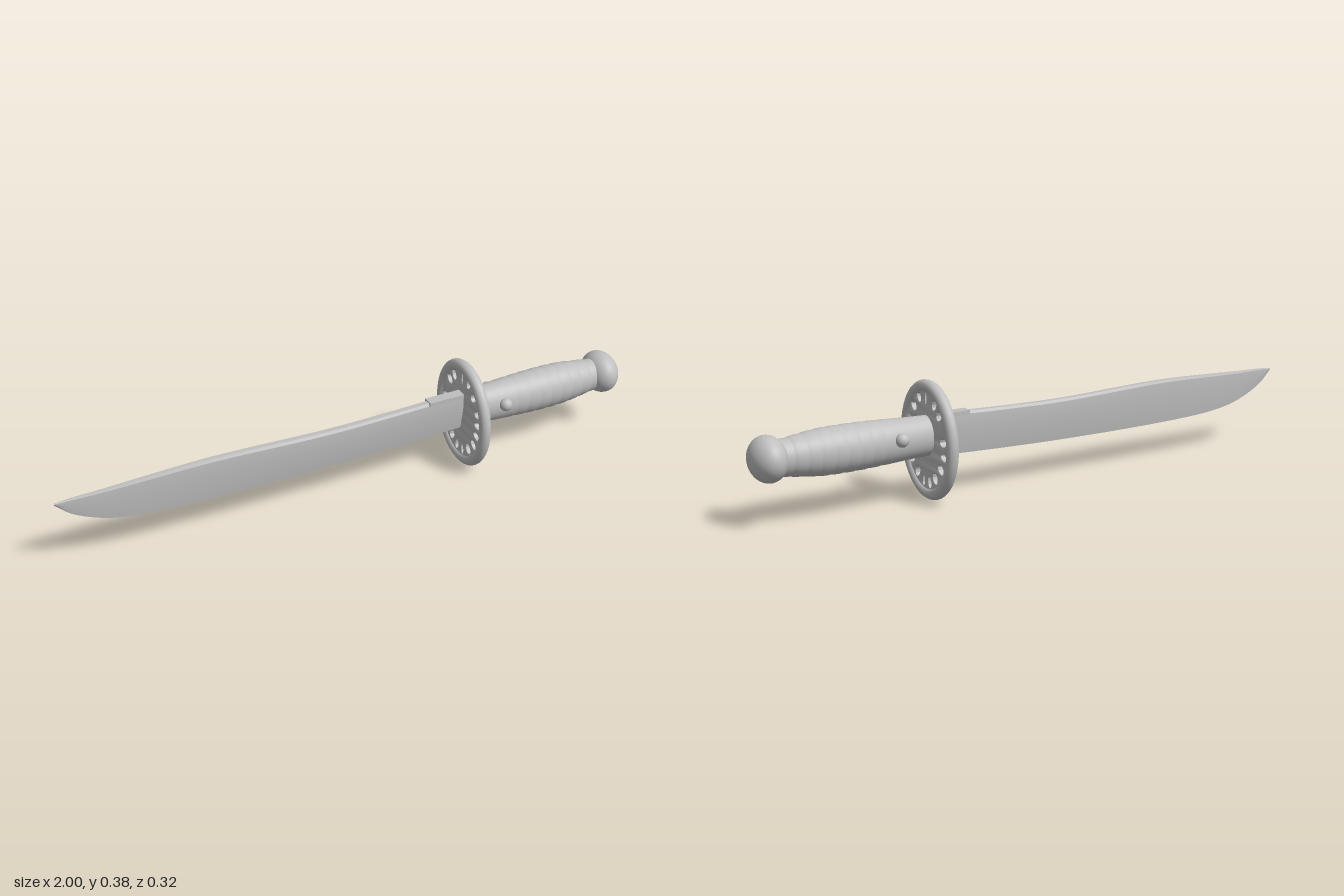
import * as THREE from 'three';
import { toCreasedNormals, mergeVertices } from 'three/addons/utils/BufferGeometryUtils.js';

// Skin a list of closed rings that run along +x; each ring turns from +z to +y
function loft(rings) {
  const n = rings[0].length, index = [];
  for (let i = 0; i < rings.length - 1; i++) {
    for (let j = 0; j < n; j++) {
      const a = i * n + j, b = i * n + (j + 1) % n;
      index.push(a, a + n, b, b, a + n, b + n);
    }
  }
  const g = new THREE.BufferGeometry();
  g.setAttribute('position', new THREE.Float32BufferAttribute(rings.flat(2), 3));
  g.setIndex(index);
  g.computeVertexNormals();
  return g;
}

// Smooth samples of [x, a, b] stations
function stations(list, count) {
  return new THREE.CatmullRomCurve3(list.map(p => new THREE.Vector3(...p))).getPoints(count);
}

export function createModel() {
  const model = new THREE.Group();
  const metal = new THREE.MeshStandardMaterial({ color: 0xbfbfbf });
  metal.name = 'plain grey';
  const add = (name, geometry, parent = model) => {
    const mesh = new THREE.Mesh(geometry, metal);
    mesh.name = name;
    parent.add(mesh);
    return mesh;
  };

  // Blade: x, spine height, edge height
  const outline = [
    [-1, 0.256, 0.25], [-0.95, 0.26, 0.205], [-0.85, 0.262, 0.158], [-0.74, 0.266, 0.135],
    [-0.5, 0.272, 0.123], [-0.1, 0.26, 0.122], [0.1, 0.262, 0.126], [0.41, 0.272, 0.136],
  ];
  const bladeRings = stations(outline, 56).map(({ x, y: top, z: bottom }) => {
    const k = Math.min(1, 0.12 + Math.sqrt(Math.max(0, x + 1)) * 1.0);
    const h = top - bottom, mid = bottom + h * 0.62;
    const w = 0.017 * k, s = 0.009 * k, e = 0.003 * k;
    return [[x, mid, w], [x, top - h * 0.06, w * 0.85], [x, top, s], [x, top, -s],
      [x, top - h * 0.06, -w * 0.85], [x, mid, -w], [x, bottom, -e], [x, bottom, e]];
  });
  add('blade', toCreasedNormals(loft(bladeRings), 0.3));

  // Short strip on the spine next to the guard
  add('bladeCollar', new THREE.BoxGeometry(0.14, 0.014, 0.036)).position.set(0.335, 0.264, 0);

  // Guard: oval pierced plate with a round rim
  const guard = new THREE.Group();
  guard.name = 'guard';
  guard.position.set(0.403, 0.19, 0);
  model.add(guard);
  const plate = new THREE.Shape().absellipse(0, 0, 0.142, 0.172, 0, Math.PI * 2, false, 0);
  // Holes: z and y of the centre, then half width across the spoke direction
  const holes = [
    [0.042, 0.133, 0.011], [0.076, 0.099, 0.014], [0.106, 0.05, 0.013], [0.11, 0.009, 0.012],
    [0.106, -0.033, 0.012], [0.09, -0.075, 0.012], [0.058, -0.11, 0.014], [0.02, -0.131, 0.007],
    [-0.016, -0.131, 0.01], [-0.051, -0.112, 0.014], [-0.086, -0.075, 0.014], [-0.106, -0.034, 0.011],
    [-0.103, 0.013, 0.014], [-0.08, 0.093, 0.014], [-0.052, 0.122, 0.012], [0, 0.134, 0.004],
  ];
  for (const [z, y, w] of holes) {
    plate.holes.push(new THREE.Path().absellipse(-z, y, 0.019, w, 0, Math.PI * 2, true, Math.atan2(y, -z)));
  }
  const plateGeo = new THREE.ExtrudeGeometry(plate, {
    depth: 0.014, bevelEnabled: true, bevelThickness: 0.004, bevelSize: 0.003, bevelOffset: -0.002,
    bevelSegments: 2, curveSegments: 20,
  });
  plateGeo.translate(0, 0, -0.007).rotateY(Math.PI / 2);
  add('guardPlate', toCreasedNormals(plateGeo, 0.7), guard);
  const rimPath = [];
  for (let i = 0; i < 48; i++) {
    const a = i / 48 * Math.PI * 2;
    rimPath.push(new THREE.Vector3(0, Math.sin(a) * 0.171, Math.cos(a) * 0.142));
  }
  add('guardRim', new THREE.TubeGeometry(new THREE.CatmullRomCurve3(rimPath, true), 96, 0.0195, 16, true), guard);

  // Grip: x, half height, half depth, with shallow rings along the rear
  const gripRings = stations([
    [0.405, 0.064, 0.05], [0.48, 0.066, 0.056], [0.6, 0.072, 0.064], [0.7, 0.074, 0.068],
    [0.78, 0.072, 0.066], [0.86, 0.062, 0.058], [0.9, 0.057, 0.052], [0.94, 0.057, 0.052],
  ], 120).map(({ x, y: ry, z: rz }) => {
    const groove = x > 0.56 && x < 0.9 ? 1 - 0.022 * Math.pow(Math.sin((x - 0.56) * Math.PI / 0.0425), 8) : 1;
    return Array.from({ length: 40 }, (_, j) => {
      const a = j / 40 * Math.PI * 2;
      return [x, 0.206 + Math.sin(a) * ry * groove, Math.cos(a) * rz * groove];
    });
  });
  add('grip', loft(gripRings));

  // Pommel knob
  const pommel = add('pommel', mergeVertices(new THREE.SphereGeometry(1, 40, 28)));
  pommel.scale.set(0.057, 0.071, 0.08);
  pommel.position.set(0.943, 0.209, 0);

  // Rivet on each side of the grip
  for (const side of [1, -1]) {
    const rivet = add(side > 0 ? 'frontRivet' : 'backRivet', new THREE.SphereGeometry(0.022, 20, 14));
    rivet.position.set(0.53, 0.219, side * 0.06);
  }
  return model;
}
